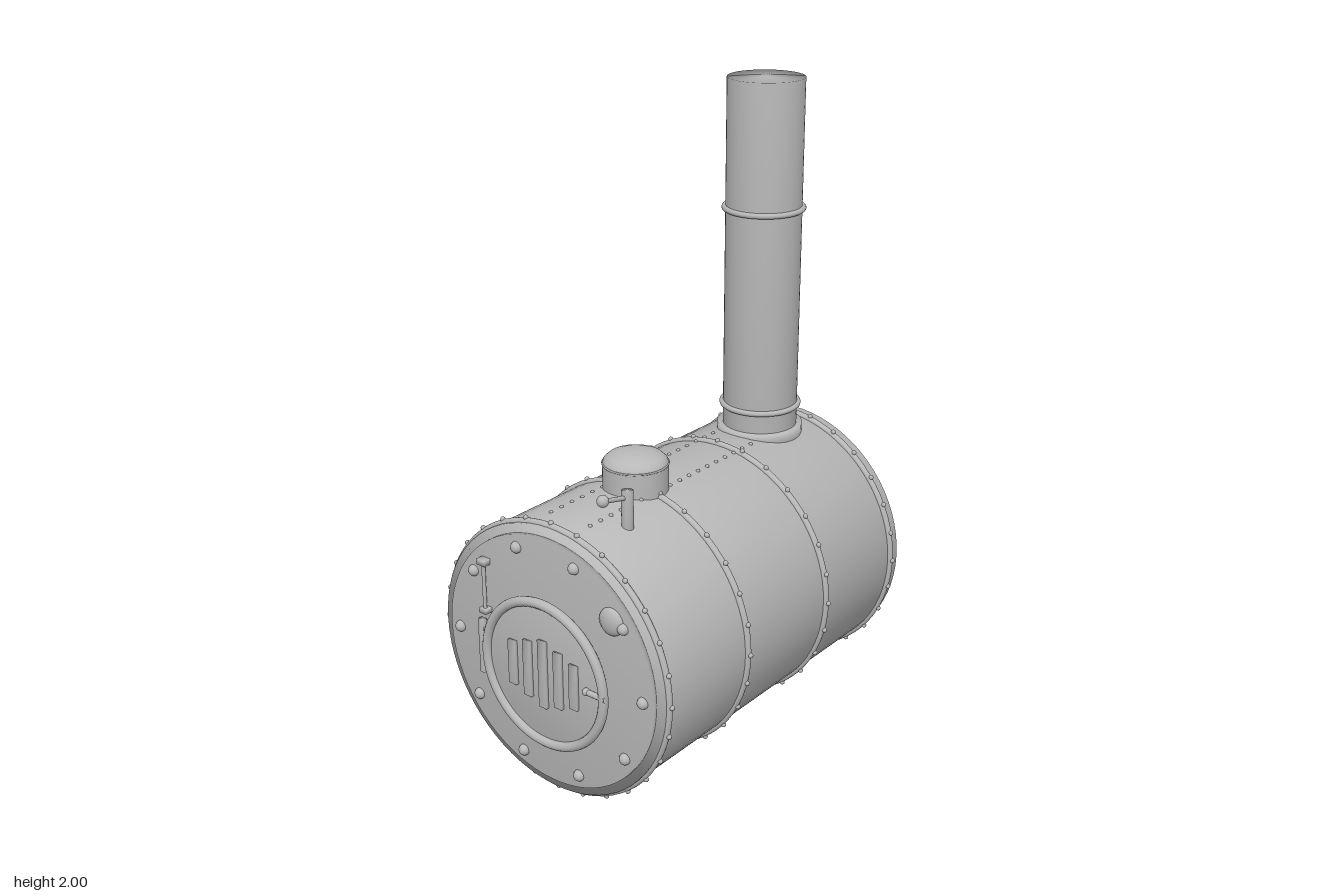
import * as THREE from 'three';
import { mergeVertices } from 'three/addons/utils/BufferGeometryUtils.js';

export function createModel() {
  const model = new THREE.Group();
  model.name = 'boiler';
  const steel = new THREE.MeshStandardMaterial({ color: 0xb8b8b8 });
  steel.name = 'grey steel';
  const CY = 0.448, R = 0.426; // boiler axis height and radius

  // Share vertices across edges so shading runs softly over every rim
  const soften = (geo) => {
    geo.deleteAttribute('uv');
    geo.deleteAttribute('normal');
    const merged = mergeVertices(geo, 1e-4);
    merged.computeVertexNormals();
    return merged;
  };
  const add = (name, geo, x = 0, y = 0, z = 0, parent = model) => {
    const mesh = new THREE.Mesh(geo, steel);
    mesh.name = name;
    mesh.position.set(x, y, z);
    parent.add(mesh);
    return mesh;
  };
  const group = (name) => {
    const g = new THREE.Group();
    g.name = name;
    model.add(g);
    return g;
  };
  const upright = (r, y0, y1, seg = 48) =>
    soften(new THREE.CylinderGeometry(r, r, y1 - y0, seg)).translate(0, (y0 + y1) / 2, 0);
  const drum = (r, z0, z1, seg = 64) =>
    soften(new THREE.CylinderGeometry(r, r, z1 - z0, seg).rotateX(Math.PI / 2)).translate(0, 0, (z0 + z1) / 2);
  const box = (w, h, d) => soften(new THREE.BoxGeometry(w, h, d));
  const ball = (r) => new THREE.SphereGeometry(r, 16, 12);
  const rod = (name, a, b, r) => {
    const curve = new THREE.LineCurve3(new THREE.Vector3(...a), new THREE.Vector3(...b));
    return add(name, new THREE.TubeGeometry(curve, 1, r, 12));
  };

  // Boiler shell and front plate
  add('boilerShell', drum(R, -0.637, 0.585, 72), 0, CY, 0);
  add('frontPlate', drum(0.397, 0.57, 0.597, 72), 0, CY, 0);

  // Riveted bands around the shell
  const bandGeo = new THREE.TorusGeometry(R, 0.011, 12, 72);
  const rivetGeo = new THREE.SphereGeometry(0.008, 10, 8);
  for (const z of [0.567, 0.198, -0.213, -0.592]) {
    const band = group('rivetedBand');
    add('band', bandGeo, 0, CY, z, band);
    for (let i = 0; i < 28; i++) {
      const a = (i / 28) * Math.PI * 2;
      add('bandRivet', rivetGeo, Math.sin(a) * 0.437, CY + Math.cos(a) * 0.437, z, band);
    }
  }

  // Two rows of rivets along the top seam
  const seam = group('seamRivets');
  const seamGeo = new THREE.SphereGeometry(0.0065, 10, 8);
  for (const x of [-0.075, 0.075]) {
    const y = CY + Math.sqrt(R * R - x * x);
    for (let i = 0; i < 18; i++) add('seamRivet', seamGeo, x, y, -0.288 + i * 0.0455, seam);
  }

  // Bolts around the front plate
  const bolts = group('frontBolts');
  for (let i = 0; i < 10; i++) {
    const a = (i / 10) * Math.PI * 2;
    add('frontBolt', ball(0.018), Math.cos(a) * 0.357, CY + Math.sin(a) * 0.357, 0.597, bolts);
  }

  // Round firebox door with rim and vent bars
  const doorY = 0.418;
  add('door', drum(0.226, 0.59, 0.616), 0, doorY, 0);
  add('doorRim', new THREE.TorusGeometry(0.228, 0.015, 12, 64), 0, doorY, 0.617);
  const vent = group('ventBars');
  for (let i = -2; i <= 2; i++) {
    add('ventBar', box(0.03, 0.22 - Math.abs(i) * 0.038, 0.016), i * 0.0595, 0.42, 0.618, vent);
  }

  // Door latch and hinge
  rod('latchRod', [0.165, 0.425, 0.622], [0.24, 0.425, 0.622], 0.009);
  add('latchKnob', ball(0.012), 0.168, 0.425, 0.622);
  add('hinge', upright(0.013, -0.088, 0.088, 16), -0.254, 0.423, 0.607);
  for (const y of [0.36, 0.48]) add('hingeStrap', box(0.05, 0.018, 0.014), -0.238, y, 0.607);

  // Slim lever above the hinge
  rod('leverRod', [-0.236, 0.55, 0.61], [-0.236, 0.71, 0.61], 0.006);
  add('leverTop', box(0.032, 0.018, 0.03), -0.236, 0.707, 0.607);
  add('leverFoot', box(0.028, 0.016, 0.03), -0.236, 0.548, 0.607);

  // Pressure gauge
  add('gauge', ball(0.043), 0.247, 0.667, 0.597).scale.z = 0.45;

  // Chimney with saddle flange and rings
  const CZ = -0.44;
  add('chimney', upright(0.12, 0.82, 2), 0, 0, CZ);
  add('chimneyFlange', upright(0.138, 0.82, 0.884), 0, 0, CZ);
  const ringGeo = new THREE.TorusGeometry(0.123, 0.009, 12, 48).rotateX(Math.PI / 2);
  for (const y of [0.953, 1.598]) add('chimneyRing', ringGeo, 0, y, CZ);

  // Steam dome
  const domeProfile = [[0.1, 0.83], [0.1, 0.945], [0.096, 0.957], [0.082, 0.97], [0.055, 0.98], [0.028, 0.984], [0, 0.985]]
    .map(([r, y]) => new THREE.Vector2(r, y));
  add('steamDome', new THREE.LatheGeometry(domeProfile, 48), 0, 0, 0.193);
  add('domeSeam', new THREE.TorusGeometry(0.099, 0.003, 8, 48).rotateX(Math.PI / 2), 0, 0.947, 0.193);

  // Whistle with a ball-ended arm
  add('whistlePost', upright(0.018, 0.83, 0.963, 20), 0.137, 0, 0.394);
  rod('whistleArm', [0.137, 0.942, 0.4], [0.137, 0.966, 0.5], 0.007);
  add('whistleBall', ball(0.018), 0.137, 0.967, 0.5);

  return model;
}
